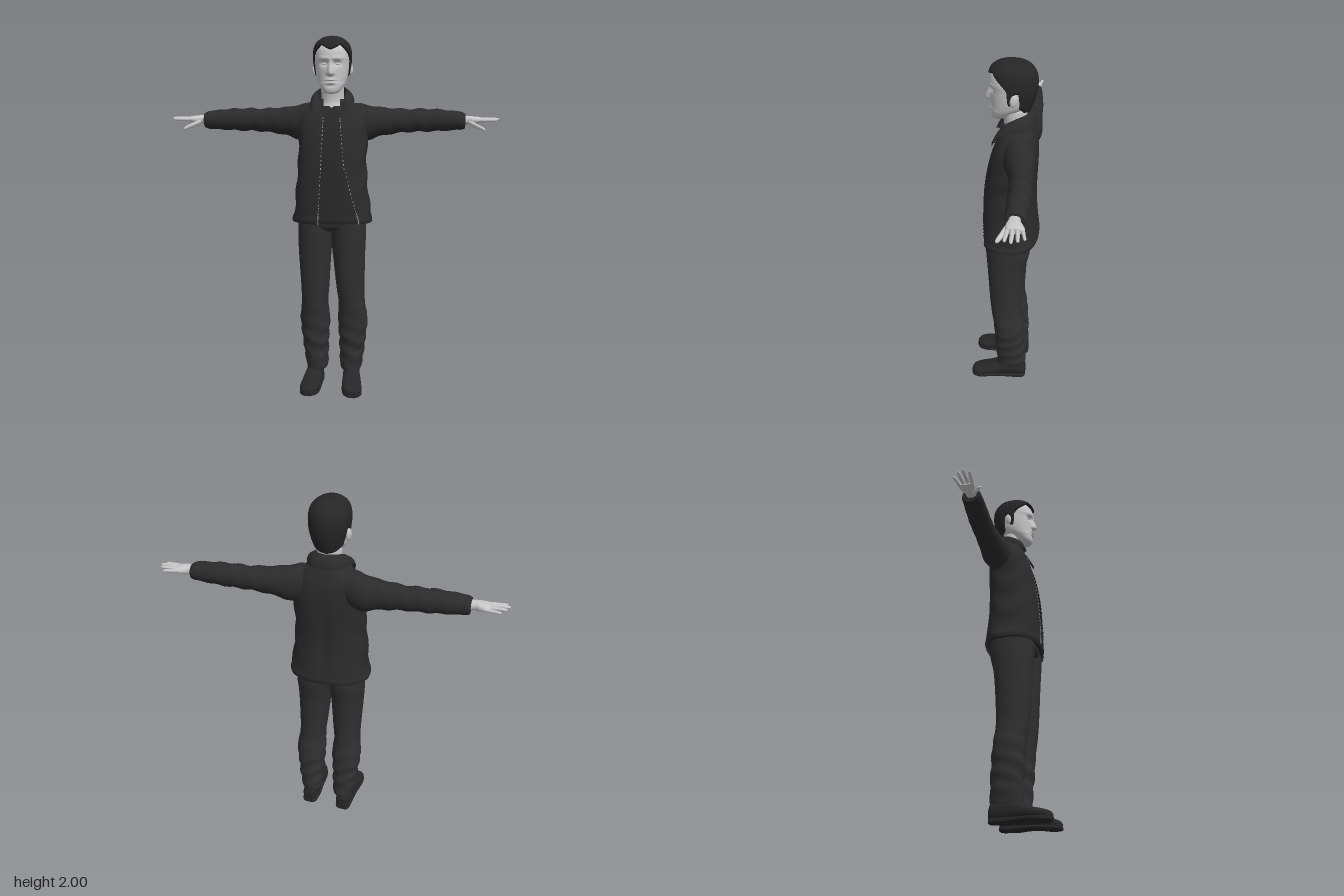
import * as THREE from 'three';
import { mergeGeometries } from 'three/addons/utils/BufferGeometryUtils.js';

const V = (x, y, z) => new THREE.Vector3(x, y, z);
const lerp = THREE.MathUtils.lerp;
const bump = (d, w) => Math.exp(-(d * d) / (w * w));

// Piecewise-linear lookup in [[x, y], ...] with rising x
function lookup(table, x) {
  for (let i = 1; i < table.length; i++) {
    const [x0, y0] = table[i - 1], [x1, y1] = table[i];
    if (x <= x1) return lerp(y0, y1, Math.max(0, (x - x0) / (x1 - x0)));
  }
  return table[table.length - 1][1];
}

// Catmull-Rom blend of cross-sections at index s
function sectionAt(secs, s) {
  const n = secs.length - 1, i = Math.min(Math.floor(s), n - 1), f = s - i;
  const [a, b, c, d] = [-1, 0, 1, 2].map(k => secs[Math.max(0, Math.min(n, i + k))]);
  return b.map((_, k) => 0.5 * (2 * b[k] + (c[k] - a[k]) * f + (2 * a[k] - 5 * b[k] + 4 * c[k] - d[k]) * f * f
    + (3 * b[k] - a[k] - 3 * c[k] + d[k]) * f * f * f));
}

// Point on a lofted surface; a section is [position, min, max, min, max]
function loftPoint(axis, secs, s, angle, e = 2) {
  const [t, a0, a1, b0, b1] = sectionAt(secs, s);
  const pw = v => Math.sign(v) * Math.abs(v) ** (2 / e);
  const c = pw(Math.cos(angle)), n = pw(Math.sin(angle));
  const mid = (p, q, k) => (p + q) / 2 + k * (q - p) / 2;
  if (axis === 'y') return V(mid(a0, a1, n), t, mid(b0, b1, c));
  if (axis === 'x') return V(t, mid(a0, a1, c), mid(b0, b1, n));
  return V(mid(a0, a1, c), mid(b0, b1, n), t);
}

// Grid of points fn(row, column), optionally wrapped round and capped
function grid(fn, rows, cols, wrap, caps) {
  const pos = [], idx = [], w = wrap ? cols : cols + 1;
  for (let i = 0; i <= rows; i++)
    for (let j = 0; j < w; j++) pos.push(...fn(i / rows, j / cols).toArray());
  for (let i = 0; i < rows; i++)
    for (let j = 0; j < cols; j++) {
      const a = i * w + j, b = i * w + (j + 1) % w;
      idx.push(a, b, b + w, a, b + w, a + w);
    }
  if (caps) for (const end of [0, 1]) {
    const base = pos.length / 3, centre = V(0, 0, 0);
    for (let j = 0; j < cols; j++) {
      const p = fn(end, j / cols);
      centre.addScaledVector(p, 1 / cols);
      pos.push(...p.toArray());
    }
    pos.push(...centre.toArray());
    for (let j = 0; j < cols; j++) {
      const a = base + j, b = base + (j + 1) % cols;
      idx.push(base + cols, end ? a : b, end ? b : a);
    }
  }
  const g = new THREE.BufferGeometry();
  g.setAttribute('position', new THREE.Float32BufferAttribute(pos, 3));
  g.setIndex(idx);
  g.computeVertexNormals();
  return g;
}

function loft(axis, secs, { e = 2, rows = 40, cols = 40, rule = p => p } = {}) {
  return grid((u, v) => rule(loftPoint(axis, secs, u * (secs.length - 1), v * Math.PI * 2, e)), rows, cols, true, true);
}

export function createModel() {
  const group = new THREE.Group();
  const mat = (name, color, side = THREE.FrontSide) => {
    const m = new THREE.MeshStandardMaterial({ color, side });
    m.name = name;
    return m;
  };
  const skin = mat('skin', 0xc8c8c8), hairMat = mat('hair', 0x262626, THREE.DoubleSide);
  const cloth = mat('jacket cloth', 0x2b2b2b, THREE.DoubleSide), shirtMat = mat('shirt cloth', 0x282828);
  const trouserMat = mat('trouser cloth', 0x303030), leather = mat('shoe leather', 0x272727), metal = mat('zip metal', 0xa0a0a0);
  const add = (name, geo, m, parent = group) => {
    const mesh = new THREE.Mesh(geo, m);
    mesh.name = name;
    parent.add(mesh);
    return mesh;
  };
  const sym = rows => rows.map(([y, x, z0, z1]) => [y, -x, x, z0, z1]);

  // Neck and head, with the face sculpted by soft bumps
  add('neck', loft('y', sym([[1.54, .07, -.12, .02], [1.6, .068, -.115, .022], [1.65, .064, -.11, .008], [1.74, .064, -.11, .02]])), skin);
  const headSecs = sym([[1.69, .015, .02, .055], [1.698, .042, -.01, .072], [1.73, .066, -.06, .078], [1.76, .08, -.11, .076],
    [1.8, .089, -.135, .077], [1.85, .094, -.145, .078], [1.89, .096, -.145, .082], [1.93, .09, -.14, .072], [1.965, .07, -.11, .04], [1.985, .02, -.05, -.01]]);
  const face = p => {
    if (p.z < 0) return p;
    const x = Math.abs(p.x), y = p.y;
    const nose = lookup([[1.782, 0], [1.795, .027], [1.81, .025], [1.86, .006], [1.88, 0]], y);
    p.z += nose * bump(x, .007 + nose * .35);
    p.z -= .014 * bump(x - .034, .02) * bump(y - 1.85, .014);
    p.z += .005 * bump(x - .034, .035) * bump(y - 1.877, .01);
    p.z += .007 * bump(x, .026) * (bump(y - 1.764, .007) + bump(y - 1.748, .007));
    p.z -= .004 * bump(x, .03) * (bump(y - 1.756, .004) + bump(y - 1.732, .009));
    return p;
  };
  add('head', loft('y', headSecs, { rows: 110, cols: 110, e: 2.1, rule: face }), skin);
  for (const s of [-1, 1]) {
    const ear = add('ear', new THREE.SphereGeometry(1, 18, 14), skin);
    ear.scale.set(.011, .034, .02);
    ear.position.set(s * .1, 1.82, -.05);
    ear.rotation.set(-.15, s * .35, 0);
    const lid = add('eyelid', new THREE.SphereGeometry(1, 16, 12), skin);
    lid.scale.set(.017, .009, .01);
    lid.position.set(s * .034, 1.848, .055);
  }

  // Hair, each column starting at the hairline
  const hairSecs = sym([[1.72, .075, -.12, .06], [1.76, .085, -.135, .072], [1.8, .096, -.15, .082], [1.86, .106, -.162, .088],
    [1.92, .105, -.16, .089], [1.96, .09, -.14, .076], [1.985, .06, -.11, .045], [1.996, .032, -.075, .01], [2, .001, -.036, -.034]]);
  const hairline = [[0, 1.92], [15, 1.93], [35, 1.945], [52, 1.92], [70, 1.885], [80, 1.86], [83, 1.785], [93, 1.785],
    [96, 1.85], [108, 1.85], [115, 1.765], [140, 1.74], [180, 1.73]];
  const yToIndex = hairSecs.map((r, i) => [r[0], i]);
  add('hair', grid((u, v) => {
    const deg = Math.abs(v > .5 ? 1 - v : v) * 360;
    const s = lerp(lookup(yToIndex, lookup(hairline, deg)), hairSecs.length - 1, u);
    const p = loftPoint('y', hairSecs, s, v * Math.PI * 2, 2.1);
    if (u === 0) { p.x *= .86; p.z = -.035 + (p.z + .035) * .86; }
    return p;
  }, 36, 144, true), hairMat);

  // Jacket body, open at the front along two slanted edges
  const jacketSecs = [[.98, -.222, .23, -.185, .132], [1, -.222, .23, -.19, .138], [1.03, -.214, .22, -.186, .136], [1.1, -.208, .21, -.178, .134],
    [1.2, -.2, .198, -.17, .126], [1.3, -.192, .192, -.17, .116], [1.4, -.19, .195, -.173, .1], [1.5, -.195, .198, -.174, .076],
    [1.57, -.185, .187, -.168, .05], [1.62, -.145, .145, -.155, .024], [1.66, -.09, .09, -.14, .01]];
  const edgeL = [[1, .158], [1.15, .115], [1.3, .075], [1.55, .05], [1.66, .045]];
  const edgeR = [[1, -.064], [1.3, -.05], [1.55, -.042], [1.66, -.045]];
  const edgeAngle = (s, table) => {
    const [y, x0, x1] = sectionAt(jacketSecs, s);
    const k = (lookup(table, y) - (x0 + x1) / 2) / ((x1 - x0) / 2);
    return Math.sign(k) * Math.asin(Math.abs(k) ** 1.15);
  };
  const top = jacketSecs.length - 1;
  add('jacketBody', grid((u, v) => {
    const s = u * top, a = lerp(edgeAngle(s, edgeL), Math.PI * 2 + edgeAngle(s, edgeR), v);
    const p = loftPoint('y', jacketSecs, s, a, 2.3);
    const fold = .004 * Math.sin(p.y * 38 + Math.sin(a * 3) * 2) * Math.sin(a) ** 2;
    p.x += fold * Math.sign(p.x);
    // hollow of the back
    if (p.z < 0) p.z += .012 * bump(p.x, .035) * bump(p.y - 1.25, .2);
    return p;
  }, 60, 80, false), cloth);

  // Shirt
  const shirtSecs = jacketSecs.slice(0, -1).map(([y, a, b, c, d]) => [y + .004, a + .012, b - .012, c + .012, d - .011]);
  add('shirt', loft('y', shirtSecs, { e: 2.3, cols: 60 }), shirtMat);

  // Zips: rows of small teeth along the open edges
  for (const [name, table] of [['leftZip', edgeL], ['rightZip', edgeR]]) {
    const teeth = [];
    for (let i = 0; i < 34; i++) {
      const s = .4 + i / 33 * (top - 2.6), p = loftPoint('y', jacketSecs, s, edgeAngle(s, table), 2.3);
      teeth.push(new THREE.BoxGeometry(.004, .008, .005).translate(p.x, p.y, p.z));
    }
    add(name, mergeGeometries(teeth), metal);
  }

  // Collar: a folded strip from the stand down to the points
  const around = pts => new THREE.CatmullRomCurve3([...pts.map(p => V(...p)), ...pts.slice(0, -1).reverse().map(([x, y, z]) => V(-x, y, z))]);
  const stand = around([[.052, 1.6, .04], [.068, 1.665, .014], [.076, 1.71, -.05], [.05, 1.728, -.105], [0, 1.73, -.122]]);
  const fall = around([[.108, 1.572, .062], [.118, 1.63, .022], [.118, 1.655, -.06], [.075, 1.665, -.14], [0, 1.66, -.16]]);
  add('collar', grid((u, v) => {
    const a = stand.getPoint(v), b = fall.getPoint(v);
    const p = a.clone().lerp(b, u), out = V(a.x, .05, a.z + .05).normalize();
    return p.addScaledVector(out, .012 * Math.sin(u * Math.PI));
  }, 8, 60, false), cloth);
  add('collarStand', grid((u, v) => {
    const a = stand.getPoint(v);
    return V(a.x * (1 + .08 * u), a.y - .09 * u, a.z - .01 * u);
  }, 3, 60, false), cloth);

  // Sleeves and hands; the right arm swings a little further forward
  const armSecs = [[.06, 1.47, 1.635, -.14, -.03], [.14, 1.44, 1.638, -.163, 0], [.2, 1.432, 1.625, -.175, -.01], [.27, 1.455, 1.614, -.176, -.032],
    [.4, 1.474, 1.605, -.18, -.062], [.5, 1.478, 1.606, -.185, -.07], [.6, 1.482, 1.602, -.185, -.074], [.69, 1.488, 1.592, -.182, -.078],
    [.715, 1.49, 1.59, -.182, -.08], [.735, 1.497, 1.58, -.176, -.088]];
  const palmSecs = [[.7, 1.518, 1.565, -.155, -.102], [.75, 1.52, 1.566, -.156, -.1], [.775, 1.52, 1.565, -.168, -.094], [.805, 1.525, 1.562, -.18, -.094], [.826, 1.532, 1.558, -.178, -.098]];
  const digit = (x0, y0, z0, x1, y1, z1, r) => [[0, .9], [.3, 1], [.55, .88], [.85, .78], [.96, .55], [1, .15]].map(([t, k]) => {
    const y = lerp(y0, y1, t), z = lerp(z0, z1, t);
    return [lerp(x0, x1, t), y - r * k, y + r * k, z - r * k, z + r * k];
  });
  const digits = {
    littleFinger: digit(.8, 1.543, -.168, .885, 1.543, -.188, .0095), ringFinger: digit(.805, 1.545, -.148, .91, 1.548, -.16, .0105),
    middleFinger: digit(.805, 1.546, -.127, .923, 1.549, -.132, .011), indexFinger: digit(.805, 1.543, -.106, .908, 1.545, -.102, .0105),
    thumb: digit(.755, 1.532, -.108, .842, 1.492, -.06, .014),
  };
  const forward = x => .05 * Math.max(0, x - .2) / .53;
  for (const side of [1, -1]) {
    const arm = new THREE.Group();
    arm.name = side > 0 ? 'leftArm' : 'rightArm';
    group.add(arm);
    const place = secs => side > 0 ? secs
      : secs.map(([x, a, b, c, d]) => [-x, a, b, c + forward(x), d + forward(x)]).reverse();
    const creases = p => {
      const x = Math.abs(p.x);
      p.y += .004 * Math.sin(x * 62 + p.z * 25) * bump(x - .45, .25);
      return p;
    };
    add('sleeve', loft('x', place(armSecs), { rows: 64, cols: 36, rule: creases }), cloth, arm);
    add('palm', loft('x', place(palmSecs), { rows: 20, cols: 24, e: 2.4 }), skin, arm);
    for (const [name, secs] of Object.entries(digits)) add(name, loft('x', place(secs), { rows: 15, cols: 12 }), skin, arm);
  }

  // Trousers and shoes
  add('trouserSeat', loft('y', sym([[.93, .12, -.1, .06], [.955, .185, -.145, .095], [1, .19, -.155, .105], [1.05, .185, -.15, .1]]), { e: 2.4 }), trouserMat);
  const legSecs = [[.092, .052, .168, -.128, .034], [.115, .046, .174, -.134, .04], [.2, .044, .186, -.132, .042], [.3, .04, .197, -.127, .05],
    [.4, .034, .206, -.12, .056], [.5, .038, .191, -.106, .07], [.6, .026, .188, -.107, .08], [.8, .004, .19, -.12, .092],
    [.92, -.008, .194, -.145, .1], [1.02, -.01, .19, -.15, .1]];
  const shoeSecs = [[-.134, .09, .14, .015, .08], [-.115, .073, .155, .008, .11], [-.04, .066, .162, .008, .12], [.02, .068, .168, .008, .105],
    [.08, .068, .178, .008, .078], [.14, .075, .183, .008, .062], [.178, .092, .172, .01, .05], [.194, .118, .15, .016, .034]];
  const soleSecs = shoeSecs.map(([z, a, b], i) => [z, a - .002, b + .002, i > 2 && i < 5 ? .007 : 0, .024]);
  for (const side of [1, -1]) {
    const leg = new THREE.Group();
    leg.name = side > 0 ? 'leftLeg' : 'rightLeg';
    group.add(leg);
    const place = (secs, shift) => side > 0 ? secs
      : secs.map(([t, a, b, c, d]) => [t, -b + shift(t), -a + shift(t), c, d]);
    const creases = p => {
      const low = bump(p.y - .25, .17);
      p.x += .0035 * low * Math.sin(p.y * 75 + p.z * 20);
      p.z += .0035 * low * Math.sin(p.y * 60 + p.x * 25);
      return p;
    };
    add('trouserLeg', loft('y', place(legSecs, y => .02 * Math.min(1, Math.max(0, (.8 - y) / .4))), { rows: 72, cols: 40, e: 2.15, rule: creases }), trouserMat, leg);
    add('shoe', loft('z', place(shoeSecs, () => .014), { rows: 36, cols: 32, e: 2.3 }), leather, leg);
    add('sole', loft('z', place(soleSecs, () => .014), { rows: 30, cols: 32, e: 6 }), leather, leg);
  }
  return group;
}
